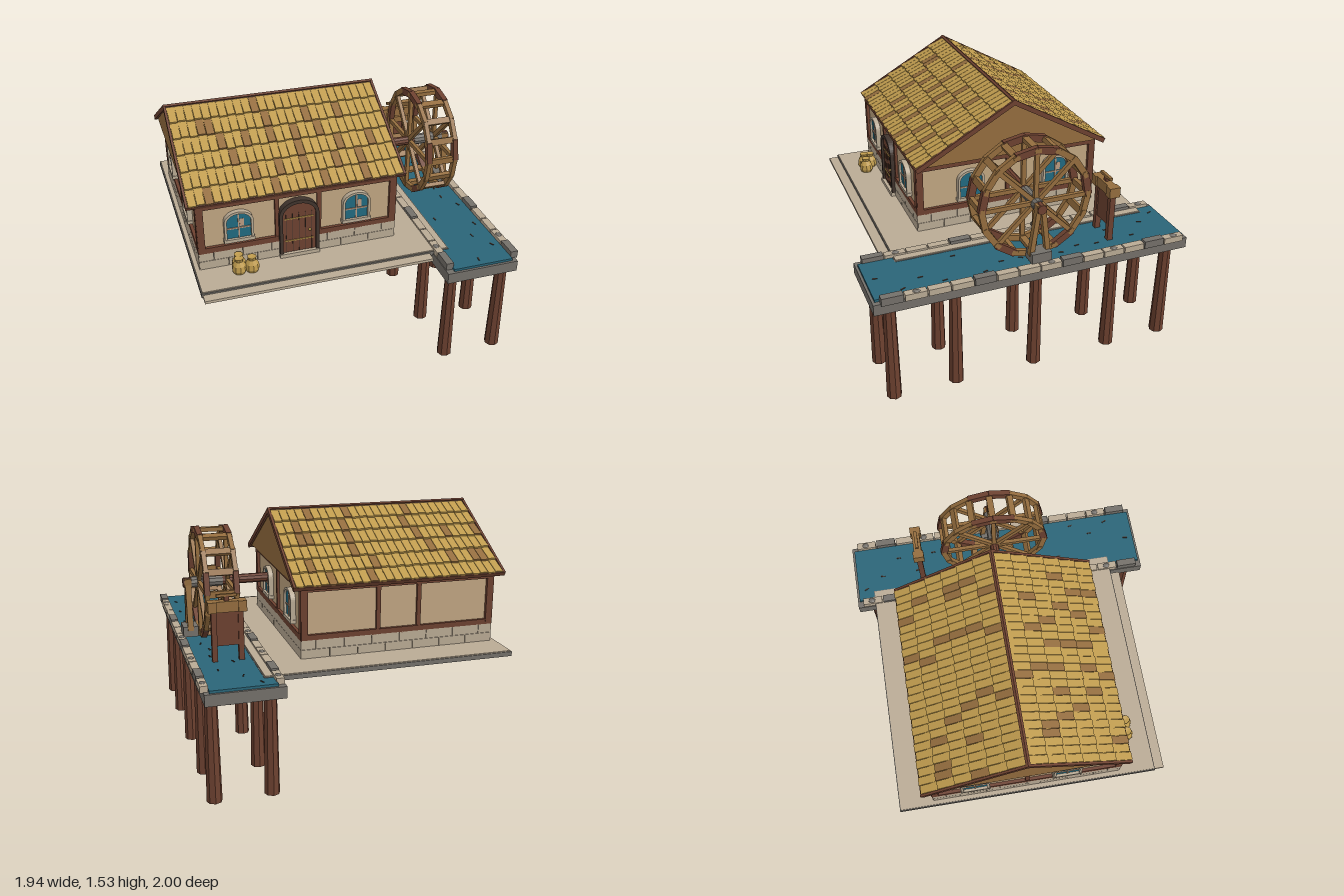
import * as THREE from 'three';
import { mergeGeometries } from 'three/addons/utils/BufferGeometryUtils.js';

const material = (name, color) => {
  const m = new THREE.MeshStandardMaterial({ color });
  m.name = name;
  return m;
};

// Arch-topped outline standing on y0; k is the rise of the arch relative to its half width
function arch(w, h, k, y0 = 0, Type = THREE.Shape) {
  const s = new Type(), r = (w / 2) * k;
  s.moveTo(-w / 2, y0);
  s.lineTo(w / 2, y0);
  s.lineTo(w / 2, y0 + h - r);
  s.absellipse(0, y0 + h - r, w / 2, r, 0, Math.PI, false);
  s.closePath();
  return s;
}
const extrude = (shape, depth) =>
  new THREE.ExtrudeGeometry(shape, { depth, bevelEnabled: false, curveSegments: 10 });
const facet = (g) => {
  const f = g.index ? g.toNonIndexed() : g;
  f.computeVertexNormals();
  return f;
};

export function createModel() {
  const straw = material('straw', 0xc09c4e), wood = material('wood', 0x946d3e);
  const timber = material('timber', 0x6d4130), trim = material('darkTrim', 0x40342d);
  const plaster = material('plaster', 0xc1a682), stone = material('paleStone', 0xbaab95);
  const darkStone = material('darkStone', 0x74706a), water = material('water', 0x2a6578);
  const glass = material('glass', 0x216a80), pale = material('paleWood', 0xbc9c82);

  const model = new THREE.Group();
  model.name = 'watermill';
  let seed = 7;
  const rand = () => (seed = (seed * 16807) % 2147483647) / 2147483647;

  const add = (name, geo, mat, parent, x = 0, y = 0, z = 0) => {
    const m = new THREE.Mesh(geo, mat);
    m.name = name;
    m.position.set(x, y, z);
    parent.add(m);
    return m;
  };
  const box = (name, mat, w, h, d, x, y, z, parent = model) =>
    add(name, new THREE.BoxGeometry(w, h, d), mat, parent, x, y, z);
  const group = (name, parent, x = 0, y = 0, z = 0) => {
    const g = new THREE.Group();
    g.name = name;
    g.position.set(x, y, z);
    parent.add(g);
    return g;
  };

  // Ground slab with pale paving and a front ledge
  box('groundSlab', darkStone, 1.545, 0.028, 1.655, -0.175, 0.704, -0.053);
  box('paving', stone, 1.533, 0.008, 1.643, -0.175, 0.72, -0.053);
  box('frontLedge', stone, 1.41, 0.018, 0.07, -0.235, 0.699, 0.8);

  // Water channel on posts
  box('channelBed', darkStone, 0.46, 0.07, 2, 0.725, 0.665, 0);
  box('channelWater', water, 0.385, 0.045, 1.97, 0.7325, 0.693, 0);
  for (let i = 0; i < 16; i++) {
    const r = box('ripple', trim, 0.008, 0.004, 0.03, 0.62 + rand() * 0.28, 0.717, -0.93 + i * 0.124);
    r.rotation.y = rand() - 0.5;
  }
  for (const x of [0.522, 0.95]) {
    for (let i = 0; i < 14; i++) {
      const dark = i % 4 === 0;
      box('kerbStone', dark ? darkStone : stone, 0.046, dark ? 0.048 : 0.04, 0.129,
        x, dark ? 0.72 : 0.716, 0.893 - i * 0.1375);
    }
    for (let i = 0; i < 5; i++) {
      const c = add('cobble', facet(new THREE.IcosahedronGeometry(0.025, 1)), darkStone, model, x, 0.725, -0.9 + i * 0.4125);
      c.scale.set(0.9, 0.75, 1.2);
    }
  }
  for (const x of [0.565, 0.905])
    for (const z of [0.9, 0.51, 0, -0.51, -0.885])
      add('supportPost', facet(new THREE.CylinderGeometry(0.037, 0.046, 0.64, 8)), timber, model, x, 0.32, z);

  // House body
  const CX = -0.295, CZ = -0.058;
  const house = group('house', model, CX, 0, CZ);
  box('walls', plaster, 1.2, 0.45, 1.17, 0, 0.945, 0, house);
  const sides = [
    { name: 'front', len: 1.235, off: 0.585, rot: 0, posts: [-0.135, 0.125], windows: [-0.37, 0.36] },
    { name: 'back', len: 1.235, off: 0.585, rot: Math.PI, posts: [-0.135, 0.125], windows: [] },
    { name: 'right', len: 1.205, off: 0.6, rot: Math.PI / 2, posts: [0], windows: [-0.25, 0.327] },
    { name: 'left', len: 1.205, off: 0.6, rot: -Math.PI / 2, posts: [0], windows: [-0.327, 0.25] },
  ];

  // Arched window, facing local +z
  function addWindow(parent, x) {
    const w = group('window', parent, x, 0.9, 0);
    const frame = arch(0.176, 0.192, 0.75);
    frame.holes.push(arch(0.146, 0.172, 0.75, 0.006, THREE.Path));
    add('windowFrame', extrude(frame, 0.032), stone, w);
    add('windowPane', extrude(arch(0.15, 0.174, 0.75, 0.005), 0.018), glass, w);
    box('mullion', pale, 0.008, 0.16, 0.008, 0, 0.09, 0.02, w);
    box('glazingBar', pale, 0.14, 0.008, 0.008, 0, 0.078, 0.02, w);
    box('paneGlint', pale, 0.026, 0.05, 0.004, 0.02, 0.112, 0.018, w);
    box('windowSill', stone, 0.186, 0.022, 0.035, 0, -0.002, 0.0175, w);
  }

  for (const s of sides) {
    const pivot = group(s.name + 'Wall', house);
    pivot.rotation.y = s.rot;
    const g = group(s.name + 'Details', pivot, 0, 0, s.off);
    box('mortar', darkStone, s.len - 0.03, 0.11, 0.012, 0, 0.777, 0, g);
    // Two staggered courses of foundation blocks
    for (let row = 0; row < 2; row++) {
      const n = 7, pitch = s.len / n;
      for (let i = 0; i <= n; i++) {
        const a = Math.max(-s.len / 2, -s.len / 2 + (i - row * 0.5) * pitch);
        const b = Math.min(s.len / 2, -s.len / 2 + (i + 1 - row * 0.5) * pitch);
        if (b - a > 0.02)
          box('foundationBlock', stone, b - a - 0.003, 0.056, 0.02, (a + b) / 2, 0.75 + row * 0.058, 0.01, g);
      }
    }
    box('sillBeam', timber, s.len, 0.036, 0.03, 0, 0.85, 0.005, g);
    box('topBeam', timber, s.len, 0.035, 0.03, 0, 1.147, 0.005, g);
    for (const e of [-1, 1]) box('cornerPost', timber, 0.042, 0.32, 0.036, e * (s.len / 2 - 0.021), 1.0, 0.003, g);
    for (const x of s.posts) box('wallPost', timber, 0.026, 0.3, 0.026, x, 1.0, 0.004, g);
    for (const x of s.windows) addWindow(g, x);

    // Arched plank door with hinges, knob and step
    if (s.name === 'front') {
      const d = group('door', g, -0.005, 0.725, 0);
      const frame = arch(0.246, 0.386, 0.8);
      frame.holes.push(arch(0.206, 0.36, 0.8, 0.004, THREE.Path));
      add('doorFrame', extrude(frame, 0.042), trim, d);
      add('doorPanel', extrude(arch(0.21, 0.364, 0.8, 0.002), 0.028), timber, d);
      for (let i = -2; i <= 2; i++) box('plankGap', trim, 0.003, 0.28, 0.003, i * 0.04, 0.155, 0.0285, d);
      for (const y of [0.105, 0.26]) box('hinge', straw, 0.18, 0.006, 0.006, 0, y, 0.031, d);
      add('doorKnob', new THREE.SphereGeometry(0.009, 8, 6), straw, d, 0.066, 0.165, 0.034);
      box('doorStep', stone, 0.25, 0.024, 0.05, 0, 0.011, 0.025, d);
    }
  }

  // Roof: solid gable core, edge boards and rows of shingles
  const W = 1.345, L = 0.73, pitch = Math.atan2(0.36, 0.64);
  const roof = group('roof', model, CX, 1.535, -0.072);
  const gable = new THREE.Shape([[-0.6, -0.364], [0.6, -0.364], [0, -0.025]].map(([a, b]) => new THREE.Vector2(a, b)));
  add('gable', extrude(gable, W - 0.04).rotateY(Math.PI / 2), wood, roof, -(W - 0.04) / 2, 0, 0);
  // Columns of weathered shingles, row by row from ridge to eave
  const weathered = [
    [[10], [3, 4, 11, 16, 20], [5, 8, 11, 14, 17], [6, 14, 19, 23], [8, 11, 14, 18, 21], [2, 10, 16, 21]],
    [[4, 9, 17], [2, 8, 16], [2, 3, 8, 17, 21, 25], [8, 18], [2, 10, 20, 23, 24], [4, 9]],
  ];
  weathered.forEach((worn, side) => {
    const half = group('roofSide', roof);
    half.rotation.y = side * Math.PI;
    const slope = group('roofSlope', half);
    slope.rotation.x = pitch;
    box('roofBoard', straw, W - 0.02, 0.014, L - 0.008, 0, -0.02, (L - 0.008) / 2, slope);
    for (const e of [-1, 1]) box('bargeBoard', timber, 0.015, 0.03, L, e * (W / 2 - 0.0075), -0.017, L / 2, slope);
    box('eaveBoard', timber, W, 0.026, 0.01, 0, -0.019, L - 0.005, slope);
    box('ridgeBoard', timber, W, 0.022, 0.016, 0, -0.011, 0.008, slope);
    const tiles = [[], []], rows = 6, cols = 26, cw = (W - 0.032) / cols, rh = (L - 0.022) / rows;
    for (let r = 0; r < rows; r++) {
      for (let c = 0; c < cols; c++) {
        const len = rh + 0.012 - (c % 2) * 0.006;
        const t = new THREE.BoxGeometry(cw - 0.003, 0.012, len);
        t.rotateX(-0.1);
        t.translate((c + 0.5 - cols / 2) * cw, -0.011, 0.012 + r * rh + len / 2 - 0.003);
        tiles[worn[r].includes(c) ? 1 : 0].push(t);
      }
    }
    add('shingles', mergeGeometries(tiles[0]), straw, slope);
    add('weatheredShingles', mergeGeometries(tiles[1]), wood, slope);
  });

  // Water wheel
  const wheel = group('waterWheel', model, 0.73, 1.075, -0.02);
  for (const x of [-0.09, 0.09]) {
    for (let i = 0; i < 16; i++) {
      const seg = group('rimSegment', wheel, x);
      seg.rotation.x = ((i + 0.5) / 16) * Math.PI * 2;
      const dark = i % 3 === 0;
      box('rimBlock', dark ? timber : wood, dark ? 0.034 : 0.028, dark ? 0.044 : 0.038, 0.137, 0, 0.329, 0, seg);
    }
    for (let i = 0; i < 8; i++) {
      const arm = group('spokeArm', wheel, x);
      arm.rotation.x = (i / 8) * Math.PI * 2;
      box('spoke', wood, 0.024, 0.31, 0.028, 0, 0.165, 0, arm);
    }
  }
  for (let i = 0; i < 16; i++) {
    const arm = group('paddleArm', wheel);
    arm.rotation.x = (i / 16) * Math.PI * 2;
    box('paddle', wood, 0.215, 0.026, 0.04, 0, 0.333, 0, arm);
  }
  const rod = (name, mat, r, x0, x1) => {
    const g = facet(new THREE.CylinderGeometry(r, r, x1 - x0, 10).rotateZ(Math.PI / 2));
    return add(name, g, mat, model, (x0 + x1) / 2, 1.075, -0.02);
  };
  rod('axle', timber, 0.03, 0.375, 0.92);
  rod('hub', darkStone, 0.036, 0.67, 0.87);

  // Outer bearing stand
  const stand = group('bearingStand', model, 0.89, 0, -0.02);
  box('bearingBase', darkStone, 0.095, 0.065, 0.125, 0, 0.765, 0, stand);
  for (const e of [-1, 1]) {
    const leg = box('standLeg', wood, 0.036, 0.32, 0.03, 0, 0.93, e * 0.032, stand);
    leg.rotation.x = -e * 0.13;
  }
  box('bearingBlock', wood, 0.044, 0.05, 0.06, 0, 1.075, 0, stand);

  // Sluice gate upstream
  const gate = group('sluiceGate', model, 0.735, 0, -0.527);
  for (const e of [-1, 1]) box('gatePost', timber, 0.032, 0.34, 0.036, e * 0.08, 0.87, 0, gate);
  box('gatePanel', timber, 0.165, 0.21, 0.02, 0, 0.915, 0, gate);
  box('gateBeam', wood, 0.23, 0.065, 0.05, 0, 1.05, 0, gate);
  for (const e of [-1, 1]) box('beamEnd', wood, 0.05, 0.065, 0.07, e * 0.09, 1.05, 0, gate);
  box('gateStem', timber, 0.03, 0.05, 0.02, 0, 1.09, 0, gate);
  box('gateHandle', wood, 0.12, 0.016, 0.02, 0, 1.115, 0, gate);

  // Grain sacks beside the wall
  const profile = [[0, 0], [0.036, 0.002], [0.045, 0.022], [0.04, 0.055], [0.024, 0.082], [0.028, 0.1], [0, 0.096]]
    .map(([r, y]) => new THREE.Vector2(r, y));
  for (const [x, z] of [[-0.692, 0.632], [-0.615, 0.636], [-0.685, 0.59]])
    add('grainSack', facet(new THREE.LatheGeometry(profile, 9)), straw, model, x, 0.722, z);

  return model;
}
